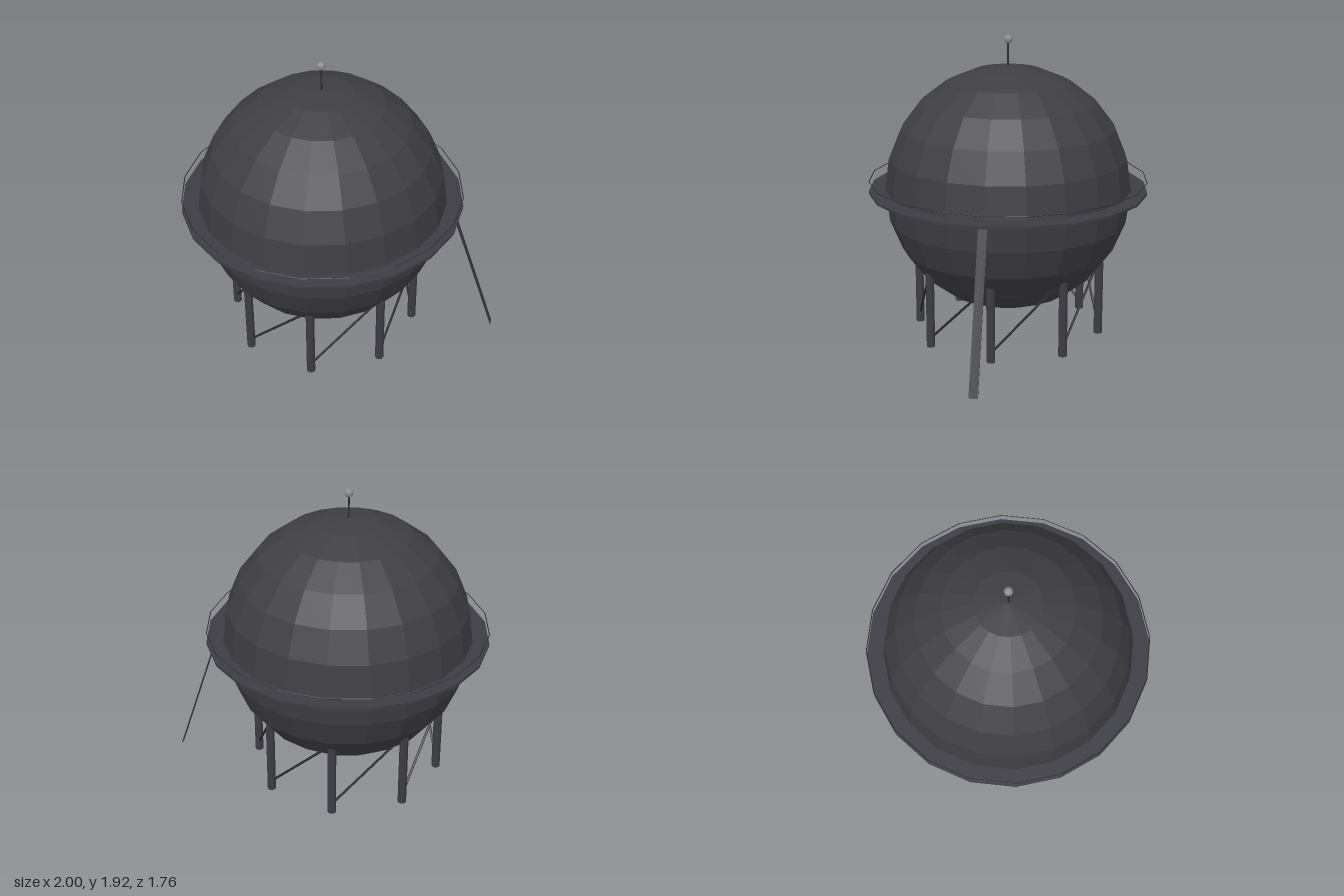
import * as THREE from 'three';

const mat = (name, color) => {
  const m = new THREE.MeshStandardMaterial({ color, flatShading: true });
  m.name = name;
  return m;
};

export function createModel() {
  const tankGrey = mat('tank grey', 0x3f3e43);
  const steel = mat('dark steel', 0x3d3c44);
  const darkSteel = mat('thin dark steel', 0x2c2c30);
  const lampGrey = mat('lamp grey', 0x8c8c8c);

  const model = new THREE.Group();
  model.name = 'sphericalTank';
  // everything but the stair is centred on the tank axis
  const tank = new THREE.Group();
  tank.name = 'tank';
  tank.position.x = -0.12;
  model.add(tank);

  const add = (name, geometry, material, parent = tank) => {
    const mesh = new THREE.Mesh(geometry, material);
    mesh.name = name;
    parent.add(mesh);
    return mesh;
  };

  // round bar between two points
  const bar = (name, a, b, radius, sides, material) => {
    const dir = b.clone().sub(a);
    const mesh = add(name, new THREE.CylinderGeometry(radius, radius, dir.length(), sides), material);
    mesh.position.copy(a).add(b).multiplyScalar(0.5);
    mesh.quaternion.setFromUnitVectors(new THREE.Vector3(0, 1, 0), dir.normalize());
    return mesh;
  };

  // faceted vessel
  add('vessel', new THREE.SphereGeometry(0.777, 20, 12), tankGrey).position.y = 0.953;

  // walkway ring around the equator
  const profile = [[0.76, 0.936], [0.88, 0.936], [0.88, 0.952], [0.76, 0.952], [0.76, 0.936]]
    .map(([r, y]) => new THREE.Vector2(r, y));
  add('walkway', new THREE.LatheGeometry(profile, 20), steel);

  // thin handrail above the walkway edge
  const rail = add('handrail', new THREE.TorusGeometry(0.877, 0.003, 4, 20).rotateX(Math.PI / 2), darkSteel);
  rail.position.y = 1.013;

  // eight legs, with one rising diagonal brace in each bay
  const LEGS = 8, R = 0.59;
  const at = (i, y) => {
    const a = (i / LEGS) * Math.PI * 2;
    return new THREE.Vector3(R * Math.cos(a), y, -R * Math.sin(a));
  };
  for (let i = 0; i < LEGS; i++) {
    bar('leg', at(i, 0), at(i, 0.48), 0.027, 8, steel);
    bar('brace', at(i, 0.055), at(i + 1, 0.5), 0.008, 5, darkSteel);
  }

  // mast with lamp on the crown
  bar('mast', new THREE.Vector3(0, 1.72, 0), new THREE.Vector3(0, 1.885, 0), 0.006, 6, darkSteel);
  add('lamp', new THREE.SphereGeometry(0.027, 8, 6), lampGrey).position.y = 1.889;

  // sloping stair from the walkway to the ground
  const dx = 0.307, dy = 0.938;
  const stair = add('stair', new THREE.BoxGeometry(0.006, Math.hypot(dx, dy), 0.055), steel, model);
  stair.position.set(0.69 + dx / 2, dy / 2 + 0.001, 0);
  stair.rotation.z = Math.atan2(dx, dy);

  return model;
}
